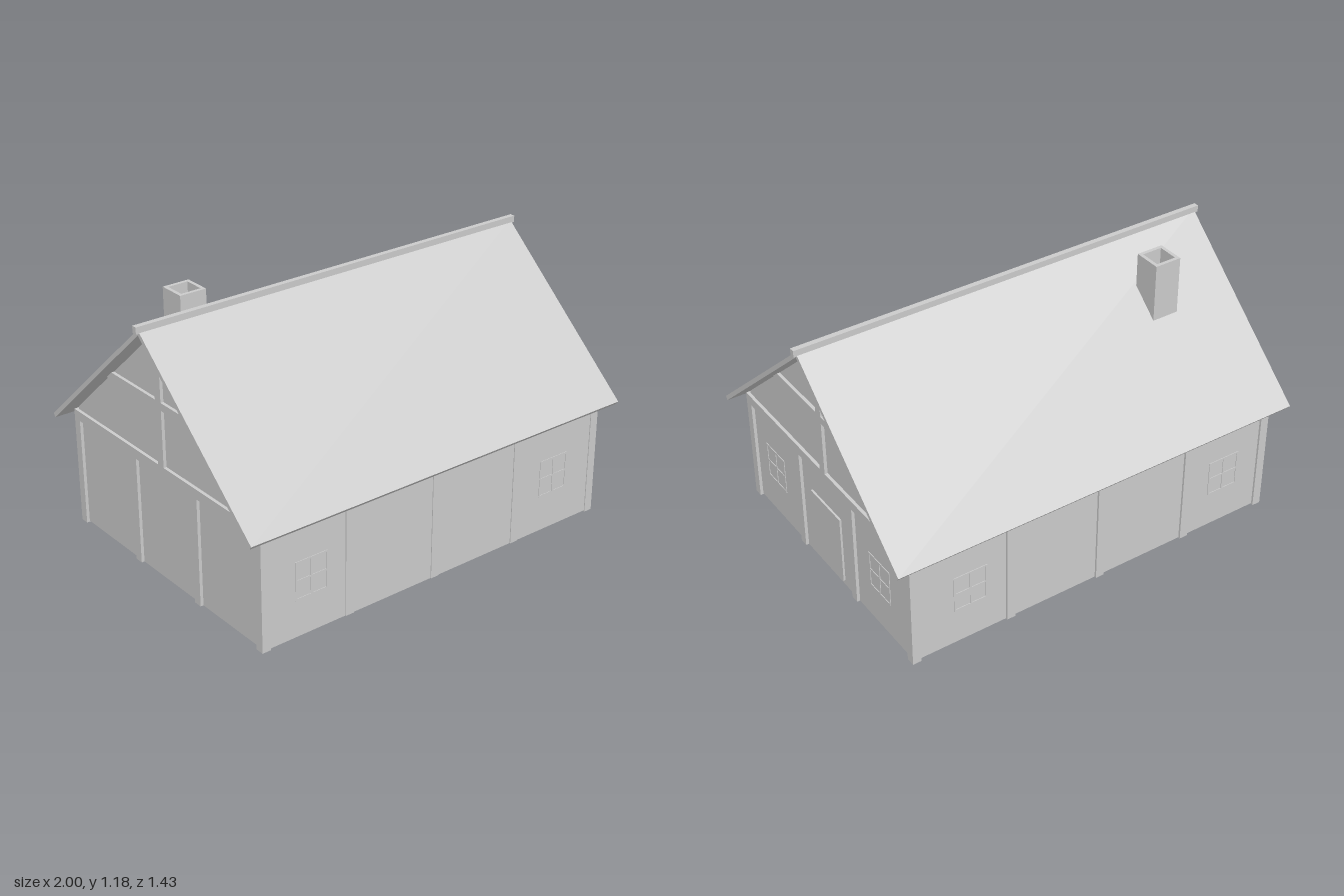
import * as THREE from 'three';

const grey = new THREE.MeshStandardMaterial({ color: 0xcccccc, flatShading: true });

export function createModel() {
  const house = new THREE.Group();
  house.name = 'house';

  function add(parent, name, geometry) {
    const mesh = new THREE.Mesh(geometry, grey);
    mesh.name = name;
    parent.add(mesh);
    return mesh;
  }
  // Box given by its min and max on each axis
  function box(name, x0, x1, y0, y1, z0, z1, parent = house) {
    const mesh = add(parent, name, new THREE.BoxGeometry(x1 - x0, y1 - y0, z1 - z0));
    mesh.position.set((x0 + x1) / 2, (y0 + y1) / 2, (z0 + z1) / 2);
    return mesh;
  }
  function shape(points) {
    return new THREE.Shape(points.map(([x, y]) => new THREE.Vector2(x, y)));
  }

  const X = 0.91, Z = 0.67, T = 0.04;       // outer frame and timber size
  const eaveY = 0.5, beamTop = 0.545;
  const slope = 0.885, ridgeY = 1.163, roofT = 0.024;
  const under = z => ridgeY - roofT - slope * Math.abs(z);

  // Long wall panels
  box('frontWall', -X + 0.02, X - 0.02, 0.005, 0.52, 0.645, 0.666);
  box('backWall', -X + 0.02, X - 0.02, 0.005, 0.52, -0.66, -0.64);

  // Gable walls, one pentagon each
  const gable = shape([[-0.655, 0.005], [0.655, 0.005], [0.655, under(0.655)],
    [0, under(0)], [-0.655, under(0.655)]]);
  for (const s of [-1, 1]) {
    const wall = add(house, 'gableWall',
      new THREE.ExtrudeGeometry(gable, { depth: 0.02, bevelEnabled: false }));
    wall.rotation.y = Math.PI / 2;
    wall.position.x = s * 0.886 - 0.01;
  }

  // Timber frame
  for (const s of [-1, 1]) {
    const x0 = s > 0 ? X - T : -X, x1 = x0 + T;
    const z0 = s > 0 ? Z - T + 0.003 : -Z, z1 = z0 + T - 0.003;
    for (const z of [-Z, Z - T]) box('cornerPost', x0, x1, 0, eaveY, z, z + T);
    for (const z of [-0.209, 0.228]) box('gablePost', x0, x1, 0.005, eaveY, z - 0.02, z + 0.02);
    for (const x of [-0.474, -0.02, 0.434]) box('wallPost', x - 0.02, x + 0.02, 0.005, eaveY, z0, z1);
    box('wallPlate', -X, X, eaveY, beamTop, z0, z1);
    box('gableBeam', x0, x1, eaveY, beamTop, -Z, Z);

    // King post and collar beam, cut to the roof slope
    const trim = { depth: T, bevelEnabled: false };
    const king = add(house, 'kingPost', new THREE.ExtrudeGeometry(shape([[-0.02, beamTop],
      [0.02, beamTop], [0.02, under(0.02)], [0, under(0)], [-0.02, under(0.02)]]), trim));
    const at = y => (ridgeY - roofT - y) / slope;
    const collar = add(house, 'collarBeam', new THREE.ExtrudeGeometry(shape([[-at(0.8), 0.8],
      [at(0.8), 0.8], [at(0.835), 0.835], [-at(0.835), 0.835]]), trim));
    for (const timber of [king, collar]) {
      timber.rotation.y = Math.PI / 2;
      timber.position.x = x0;
    }
  }

  // Windows: slim frame with a cross, centred at (u, 0.26) in a wall
  function windowFrame(u, depth) {
    const group = new THREE.Group();
    group.name = 'window';
    const w = 0.076, h = 0.083, b = 0.008, d = depth / 2;
    for (const s of [-1, 1]) {
      box('windowStile', s * w - b / 2, s * w + b / 2, -h - b / 2, h + b / 2, -d, d, group);
      box('windowRail', -w, w, s * h - b / 2, s * h + b / 2, -d, d, group);
    }
    box('windowMullion', -b / 2, b / 2, -h, h, -d, d, group);
    box('windowCrossbar', -w, w, -b / 2, b / 2, -d, d, group);
    group.position.set(u, 0.26, 0);
    house.add(group);
    return group;
  }
  for (const x of [-0.665, 0.655]) windowFrame(x, 0.026).position.z = 0.6555;
  for (const x of [-0.68, 0.625]) windowFrame(x, 0.026).position.z = -0.65;
  for (const z of [-0.41, 0.46]) {
    const frame = windowFrame(0.886, 0.026);
    frame.rotation.y = Math.PI / 2;
    frame.position.z = z;
  }

  // Door in the right gable
  box('door', 0.87, 0.905, 0.03, 0.36, -0.11, 0.13);

  // Roof: both slopes in one folded sheet with square-cut eaves
  const roofShape = shape([[0, ridgeY], [-0.717, ridgeY - slope * 0.717], [-0.705, 0.513],
    [0, ridgeY - roofT], [0.705, 0.513], [0.717, ridgeY - slope * 0.717]]);
  const roof = add(house, 'roof',
    new THREE.ExtrudeGeometry(roofShape, { depth: 1.97, bevelEnabled: false }));
  roof.rotation.y = Math.PI / 2;
  roof.position.x = -0.985;
  box('ridgeCap', -1, 1, 1.15, 1.18, -0.012, 0.012);

  // Hollow chimney, its foot cut along the roof slope
  const cx = -0.61, cz = -0.233, r = 0.063, t = 0.016, top = 1.167;
  const square = q => [[-q, -q], [q, -q], [q, q], [-q, q]];
  const flue = shape(square(r));
  flue.holes.push(new THREE.Path(square(r - t).map(([x, y]) => new THREE.Vector2(x, y))));
  const chimneyGeometry = new THREE.ExtrudeGeometry(flue, { depth: 1, bevelEnabled: false });
  chimneyGeometry.rotateX(-Math.PI / 2).translate(cx, 0, cz);
  const p = chimneyGeometry.attributes.position;
  for (let i = 0; i < p.count; i++) {
    p.setY(i, p.getY(i) > 0.5 ? top : ridgeY - 0.012 - slope * Math.abs(p.getZ(i)));
  }
  chimneyGeometry.computeVertexNormals();
  add(house, 'chimney', chimneyGeometry);

  return house;
}
